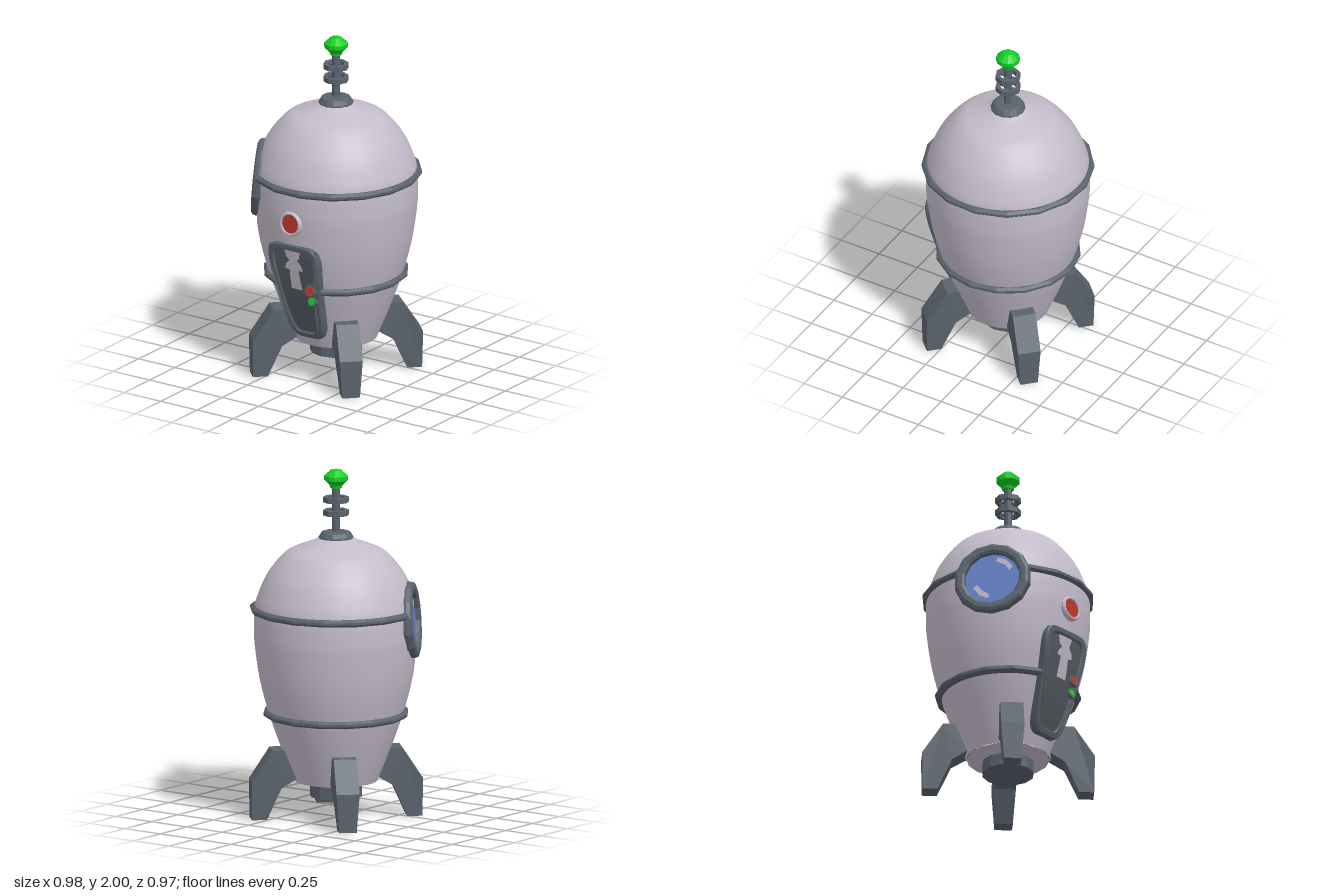
import * as THREE from 'three';

const mat = (name, color) => {
  const m = new THREE.MeshStandardMaterial({ color });
  m.name = name;
  return m;
};
const shell = mat('pale lilac shell', 0xc4bccb);
const steel = mat('slate grey metal', 0x5a636d);
const panelGrey = mat('dark door grey', 0x565b61);
const green = mat('bright green', 0x0fcf22);
const red = mat('lamp red', 0xb8352b);
const blue = mat('window blue', 0x6484cc);

const TAU = Math.PI * 2;
const v2 = (pts) => pts.map(([x, y]) => new THREE.Vector2(x, y));

function add(parent, name, geometry, material) {
  const m = new THREE.Mesh(geometry, material);
  m.name = name;
  parent.add(m);
  return m;
}
// Faceted copy of a geometry
function flat(geometry) {
  const g = geometry.index ? geometry.toNonIndexed() : geometry;
  g.computeVertexNormals();
  return g;
}
const flatLathe = (pts, seg, start = 0, len = TAU) => flat(new THREE.LatheGeometry(v2(pts), seg, start, len));

// Window frame plane on the hull
const windowNormal = new THREE.Vector3(-0.865, 0.08, 0.5).normalize();
const windowCentre = new THREE.Vector3(-0.398, 1.145, 0.23);

// Hull, flattened behind the window
function buildHull(g) {
  const curve = new THREE.SplineCurve(v2([
    [0.235, 0.212], [0.31, 0.4], [0.38, 0.6], [0.432, 0.8], [0.46, 1.0], [0.464, 1.1], [0.46, 1.2],
    [0.44, 1.28], [0.385, 1.4], [0.29, 1.515], [0.2, 1.56], [0.135, 1.585], [0.085, 1.61],
  ]));
  const geo = new THREE.LatheGeometry(curve.getPoints(60), 64);
  const p = geo.attributes.position, v = new THREE.Vector3();
  for (let i = 0; i < p.count; i++) {
    v.fromBufferAttribute(p, i);
    const d = v.clone().sub(windowCentre).dot(windowNormal) + 0.036;
    if (d > 0) {
      v.addScaledVector(windowNormal, -d);
      p.setXYZ(i, v.x, v.y, v.z);
    }
  }
  add(g, 'hull', geo, shell);
  add(g, 'hullUnderside', flatLathe([[0.1, 0.18], [0.235, 0.212]], 16), shell);
  add(g, 'nozzle', flat(new THREE.CylinderGeometry(0.148, 0.148, 0.08, 12)), steel).position.y = 0.16;
}

// Hoop around the hull with a gap for the door or window
function buildHoop(g, name, r, y, gapAt, gap) {
  const pts = [[r - 0.05, y - 0.02], [r - 0.015, y - 0.02], [r, y - 0.007], [r, y + 0.007], [r - 0.015, y + 0.02], [r - 0.05, y + 0.02]];
  add(g, name, flatLathe(pts, 14, gapAt + gap, TAU - 2 * gap), steel);
}

// Four tapered fins
function buildFins(g) {
  const shape = new THREE.Shape(v2([
    [0.18, 0.25], [0.24, 0.23], [0.32, 0.18], [0.40, 0], [0.485, 0], [0.488, 0.22], [0.37, 0.4], [0.2, 0.4],
  ]));
  const geo = new THREE.ExtrudeGeometry(shape, { depth: 1, bevelEnabled: false });
  const p = geo.attributes.position;
  for (let i = 0; i < p.count; i++) {
    const half = 0.05 + 0.016 * Math.min(1, p.getY(i) / 0.22);
    p.setZ(i, (p.getZ(i) - 0.5) * 2 * half);
  }
  geo.computeVertexNormals();
  for (let i = 0; i < 4; i++) add(g, 'fin', geo, steel).rotation.y = Math.PI / 4 + i * Math.PI / 2;
}

// Antenna: collar, rod, two rings and a bulb
function buildAntenna(g) {
  add(g, 'antennaCollar', flatLathe([[0.06, 1.595], [0.098, 1.6], [0.098, 1.612], [0.083, 1.637], [0.07, 1.642], [0, 1.642]], 14), steel);
  add(g, 'antennaRod', flat(new THREE.CylinderGeometry(0.022, 0.022, 0.28, 8)), steel).position.y = 1.77;
  for (const y of [1.75, 1.825]) {
    const pts = [[0.05, y - 0.015], [0.073, y - 0.015], [0.073, y + 0.015], [0.05, y + 0.015], [0.05, y - 0.015]];
    add(g, 'antennaRing', flatLathe(pts, 8), steel);
    for (const a of [0, Math.PI / 2]) {
      add(g, 'ringSpoke', new THREE.BoxGeometry(0.11, 0.012, 0.012).rotateY(a), steel).position.y = y;
    }
  }
  add(g, 'antennaBulb', flatLathe([[0, 1.89], [0.033, 1.892], [0.037, 1.908], [0.067, 1.938], [0.067, 1.962], [0.03, 1.995], [0, 2.0]], 12), green);
}

// Door surface follows the hull from bottom to top
const doorZ = (y) => 0.396 + 0.267 * (y - 0.6) - 0.29 * (y - 0.6) ** 2;
function bend(geo) {
  const p = geo.attributes.position;
  for (let i = 0; i < p.count; i++) p.setZ(i, p.getZ(i) + doorZ(p.getY(i)));
  geo.computeVertexNormals();
  return geo;
}
// Rounded, downward-narrowing outline
function doorOutline(inset) {
  const pts = [], n = 64;
  const soft = (c) => Math.sign(c) * Math.abs(c) ** 0.34;
  for (let i = 0; i < n; i++) {
    const a = (i + 0.5) / n * TAU, sy = soft(Math.sin(a));
    pts.push(new THREE.Vector2(0.006 + (0.148 - inset + 0.034 * sy) * soft(Math.cos(a)), 0.578 + (0.304 - inset) * sy));
  }
  return pts;
}
function buildDoor(g) {
  const door = new THREE.Group();
  door.name = 'door';
  g.add(door);
  const ring = new THREE.Shape(doorOutline(0.008));
  ring.holes.push(new THREE.Path(doorOutline(0.032)));
  const frame = new THREE.ExtrudeGeometry(ring, { depth: 0.07, bevelThickness: 0.008, bevelSize: 0.008, bevelSegments: 1 });
  add(door, 'doorFrame', bend(frame.translate(0, 0, -0.072)), steel);

  const panel = new THREE.PlaneGeometry(2, 0.57, 1, 14).translate(0, 0.578, -0.008);
  const p = panel.attributes.position;
  for (let i = 0; i < p.count; i++) p.setX(i, 0.006 + p.getX(i) * (0.127 + 0.034 * (p.getY(i) - 0.578) / 0.29));
  add(door, 'doorPanel', bend(panel), panelGrey);

  const arrow = new THREE.Shape(v2([
    [-0.03, 0.6], [0.045, 0.6], [0.04, 0.66], [0.036, 0.72], [0.065, 0.725], [0.06, 0.755], [0.025, 0.797],
    [-0.005, 0.797], [-0.045, 0.755], [-0.055, 0.725], [-0.025, 0.72], [-0.028, 0.66],
  ]));
  add(door, 'doorArrow', bend(new THREE.ShapeGeometry(arrow).translate(0, 0, -0.002)), shell);

  for (const [x, y, r, m] of [[0.103, 0.612, 0.025, red], [0.105, 0.542, 0.02, green]]) {
    const b = new THREE.Group();
    b.name = 'doorButton';
    b.position.set(x, y, doorZ(y));
    b.rotation.x = -0.26;
    add(b, 'buttonBezel', new THREE.CylinderGeometry(r + 0.009, r + 0.011, 0.02, 14).rotateX(Math.PI / 2), steel);
    add(b, 'buttonCap', new THREE.CylinderGeometry(r, r, 0.02, 14).rotateX(Math.PI / 2), m).position.z = 0.004;
    door.add(b);
  }
}

// Round lamp above the door
function buildLamp(g) {
  const lamp = new THREE.Group();
  lamp.name = 'lamp';
  lamp.position.set(0.012, 1.015, 0.475);
  lamp.rotation.x = -0.06;
  const rim = flatLathe([[0.073, -0.06], [0.073, -0.006], [0.066, 0.003], [0.058, 0.003], [0.054, -0.006]], 18);
  add(lamp, 'lampRim', rim.rotateX(Math.PI / 2), shell);
  add(lamp, 'lampLens', new THREE.CircleGeometry(0.056, 18).translate(0, 0, -0.004), red);
  g.add(lamp);
}

// Recessed round window
function buildWindow(g) {
  const w = new THREE.Group();
  w.name = 'window';
  w.position.copy(windowCentre);
  w.lookAt(windowCentre.clone().add(windowNormal));
  const profile = [[0.215, -0.11], [0.222, -0.03], [0.215, -0.008], [0.2, 0], [0.175, 0], [0.16, -0.008], [0.155, -0.04]];
  add(w, 'windowFrame', flatLathe(profile, 14).rotateX(Math.PI / 2), steel);
  add(w, 'windowGlass', new THREE.CircleGeometry(0.165, 28).translate(0, 0, -0.028), blue);
  const glints = [
    [[0.02, 0.11], [0.07, 0.085], [0.1, 0.045], [0.115, 0.07], [0.08, 0.115], [0.03, 0.135]],
    [[-0.11, -0.05], [-0.075, -0.1], [-0.02, -0.125], [-0.02, -0.095], [-0.06, -0.07], [-0.085, -0.035]],
  ];
  for (const pts of glints) {
    add(w, 'windowGlint', new THREE.ShapeGeometry(new THREE.Shape(v2(pts))).translate(0, 0, -0.024), shell);
  }
  g.add(w);
}

export function createModel() {
  const g = new THREE.Group();
  g.name = 'rocket';
  buildHull(g);
  buildHoop(g, 'upperHoop', 0.488, 1.2, Math.atan2(windowNormal.x, windowNormal.z), 0.44);
  buildHoop(g, 'lowerHoop', 0.413, 0.6, 0, 0.36);
  buildFins(g);
  buildAntenna(g);
  buildDoor(g);
  buildLamp(g);
  buildWindow(g);
  g.position.x = 0.01;
  const model = new THREE.Group();
  model.name = 'toyRocket';
  model.add(g);
  return model;
}
